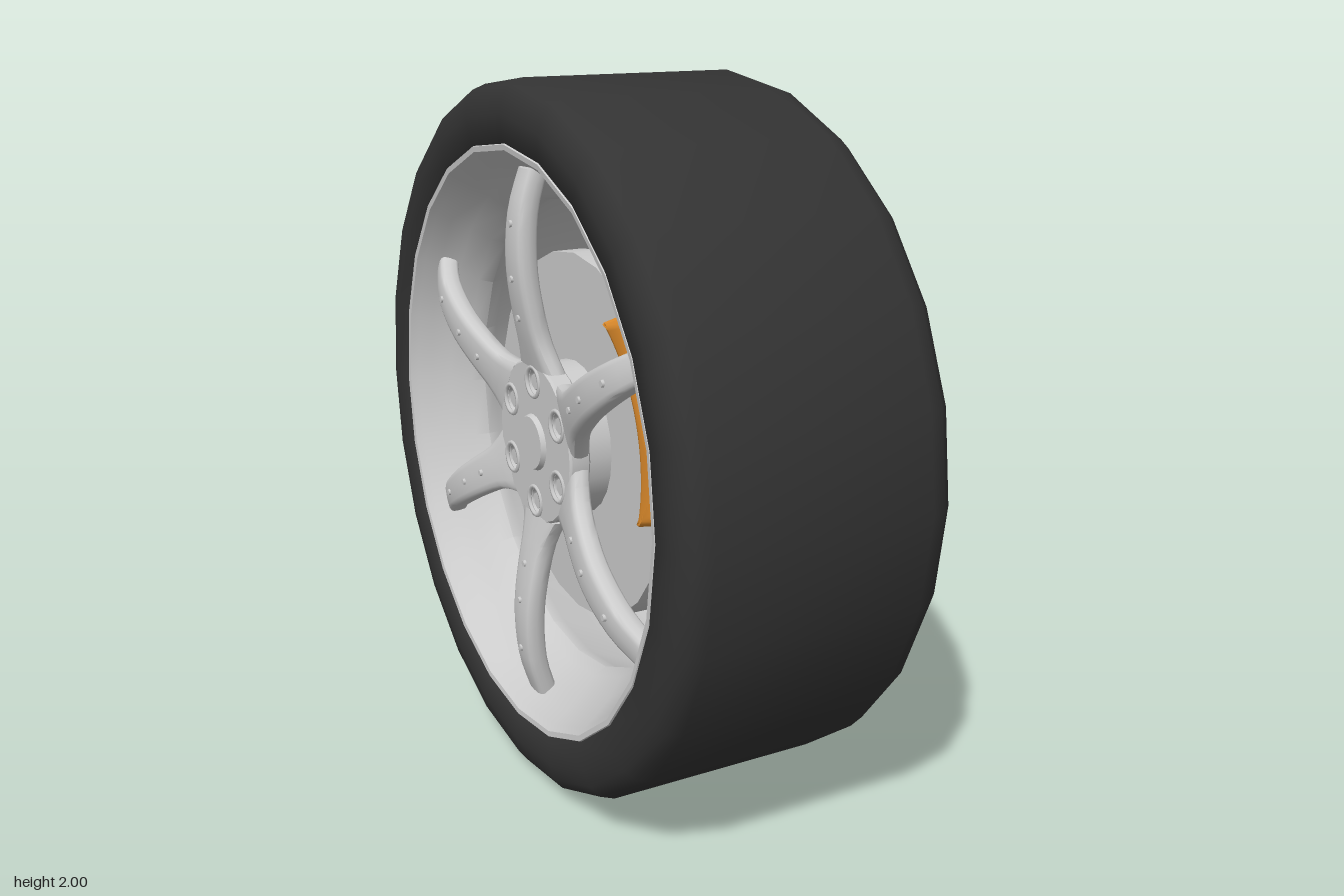
import * as THREE from 'three';
import { toCreasedNormals } from 'three/addons/utils/BufferGeometryUtils.js';

const grey = new THREE.MeshStandardMaterial({ color: 0xcccccc, side: THREE.DoubleSide });
const rubber = new THREE.MeshStandardMaterial({ color: 0x333333, side: THREE.DoubleSide });
const orange = new THREE.MeshStandardMaterial({ color: 0xe8922e });

function add(parent, name, geometry, material = grey) {
  const mesh = new THREE.Mesh(geometry, material);
  mesh.name = name;
  parent.add(mesh);
  return mesh;
}

// Revolve a profile of [x, radius] pairs around the x axis
function revolve(profile, crease = 0.75) {
  const geo = new THREE.LatheGeometry(profile.map(([x, r]) => new THREE.Vector2(r, x)), 24);
  return toCreasedNormals(geo.rotateZ(-Math.PI / 2), crease);
}

// Short cylinder along z, from z0 to z1
function disc(radius, z0, z1, sides, topRadius = radius) {
  return new THREE.CylinderGeometry(topRadius, radius, z1 - z0, sides)
    .rotateX(Math.PI / 2).translate(0, 0, (z0 + z1) / 2);
}

// Bowed, tapering spoke: a tube reshaped to a rounded bar along +y
const widths = new THREE.SplineCurve([[0.215, 0.105], [0.29, 0.07], [0.4, 0.06], [0.55, 0.053], [0.77, 0.042]]
  .map(p => new THREE.Vector2(...p)));
const depths = new THREE.SplineCurve([[0.215, 0.3], [0.35, 0.335], [0.5, 0.357], [0.65, 0.35], [0.77, 0.315]]
  .map(p => new THREE.Vector2(...p)));
function sample(curve, r) {
  let lo = 0, hi = 1;
  for (let i = 0; i < 20; i++) {
    const mid = (lo + hi) / 2;
    if (curve.getPoint(mid).x < r) lo = mid; else hi = mid;
  }
  return curve.getPoint(lo).y;
}
function spokeGeometry() {
  const geo = new THREE.CylinderGeometry(1, 1, 1, 16, 14);
  const p = geo.attributes.position;
  const square = v => Math.sign(v) * Math.pow(Math.abs(v), 0.5);
  for (let i = 0; i < p.count; i++) {
    const r = 0.215 + (p.getY(i) + 0.5) * 0.55;
    p.setXYZ(i, square(p.getX(i)) * sample(widths, r), r, square(p.getZ(i)) * 0.032 + sample(depths, r));
  }
  return toCreasedNormals(geo, 0.8);
}

function createWheelFace() {
  const face = new THREE.Group();
  face.name = 'wheelFace';

  // Hub plate with bolt holes
  const plate = new THREE.Shape().absarc(0, 0, 0.235, 0, Math.PI * 2);
  for (let i = 0; i < 6; i++) {
    const a = Math.PI / 2 + i * Math.PI / 3;
    plate.holes.push(new THREE.Path().absarc(0.175 * Math.cos(a), 0.175 * Math.sin(a), 0.036, 0, Math.PI * 2, true));
  }
  const plateGeo = new THREE.ExtrudeGeometry(plate, {
    depth: 0.05, bevelThickness: 0.006, bevelSize: 0.006, bevelOffset: -0.006, bevelSegments: 1, curveSegments: 12 });
  add(face, 'hubPlate', toCreasedNormals(plateGeo.translate(0, 0, 0.275), 0.6));
  add(face, 'hubCore', disc(0.22, 0.18, 0.285, 24));
  add(face, 'centreCap', disc(0.09, 0.31, 0.345, 24, 0.075));

  // Six spokes, each with a bolt and three studs
  const spokeGeo = spokeGeometry();
  for (let i = 0; i < 6; i++) {
    const arm = new THREE.Group();
    arm.name = 'spokeArm';
    arm.rotation.z = i * Math.PI / 3;
    face.add(arm);
    add(arm, 'spoke', spokeGeo);
    add(arm, 'bolt', disc(0.025, 0.28, 0.325, 6).translate(0, 0.175, 0));
    add(arm, 'boltRing', new THREE.TorusGeometry(0.042, 0.007, 6, 18).translate(0, 0.175, 0.33));
    for (const r of [0.36, 0.47, 0.62]) {
      const z = sample(depths, r) + 0.03;
      add(arm, 'stud', disc(0.012, z - 0.01, z + 0.008, 8, 0.009).translate(0, r, 0));
    }
  }
  return face;
}

// Curved caliper clamped over the edge of the brake disc
function caliperGeometry() {
  const rad = THREE.MathUtils.degToRad;
  const shape = new THREE.Shape()
    .absarc(0, 0, 0.56, rad(-9), rad(51), false)
    .absarc(0, 0, 0.43, rad(61), rad(-19), true);
  const geo = new THREE.ExtrudeGeometry(shape, {
    depth: 0.14, bevelThickness: 0.035, bevelSize: 0.03, bevelOffset: -0.03, bevelSegments: 3, curveSegments: 10 });
  return toCreasedNormals(geo.translate(0, 0, 0.06), 0.7);
}

export function createModel() {
  const wheel = new THREE.Group();
  wheel.name = 'wheel';
  const body = new THREE.Group();
  body.name = 'wheelBody';
  body.position.y = 1;
  wheel.add(body);

  // Tyre, from the outer face to the inner face
  add(body, 'tyre', revolve([
    [-0.385, 0.82], [-0.405, 0.84], [-0.41, 0.91], [-0.402, 0.955], [-0.38, 0.985], [-0.34, 1],
    [0.28, 1], [0.325, 0.985], [0.36, 0.955], [0.383, 0.91], [0.392, 0.86], [0.395, 0.82]]), rubber);

  // Rim: lip, barrel narrowing to a waist, then flaring to the outer face
  add(body, 'rim', revolve([
    [0.38, 0.835], [0.405, 0.835], [0.408, 0.822], [0.37, 0.815], [0.25, 0.805], [0.1, 0.78], [-0.05, 0.735],
    [-0.16, 0.685], [-0.2, 0.672], [-0.24, 0.69], [-0.29, 0.74], [-0.34, 0.775], [-0.38, 0.8],
    [-0.4, 0.815], [-0.402, 0.83], [-0.38, 0.84]]));

  // Parts that face outward along their own +z, turned to point to -x
  const outward = new THREE.Group();
  outward.name = 'outwardParts';
  outward.rotation.y = -Math.PI / 2;
  body.add(outward);
  add(outward, 'brakeDisc', disc(0.525, 0.11, 0.2, 24));
  add(outward, 'caliper', caliperGeometry(), orange);
  outward.add(createWheelFace());
  return wheel;
}
